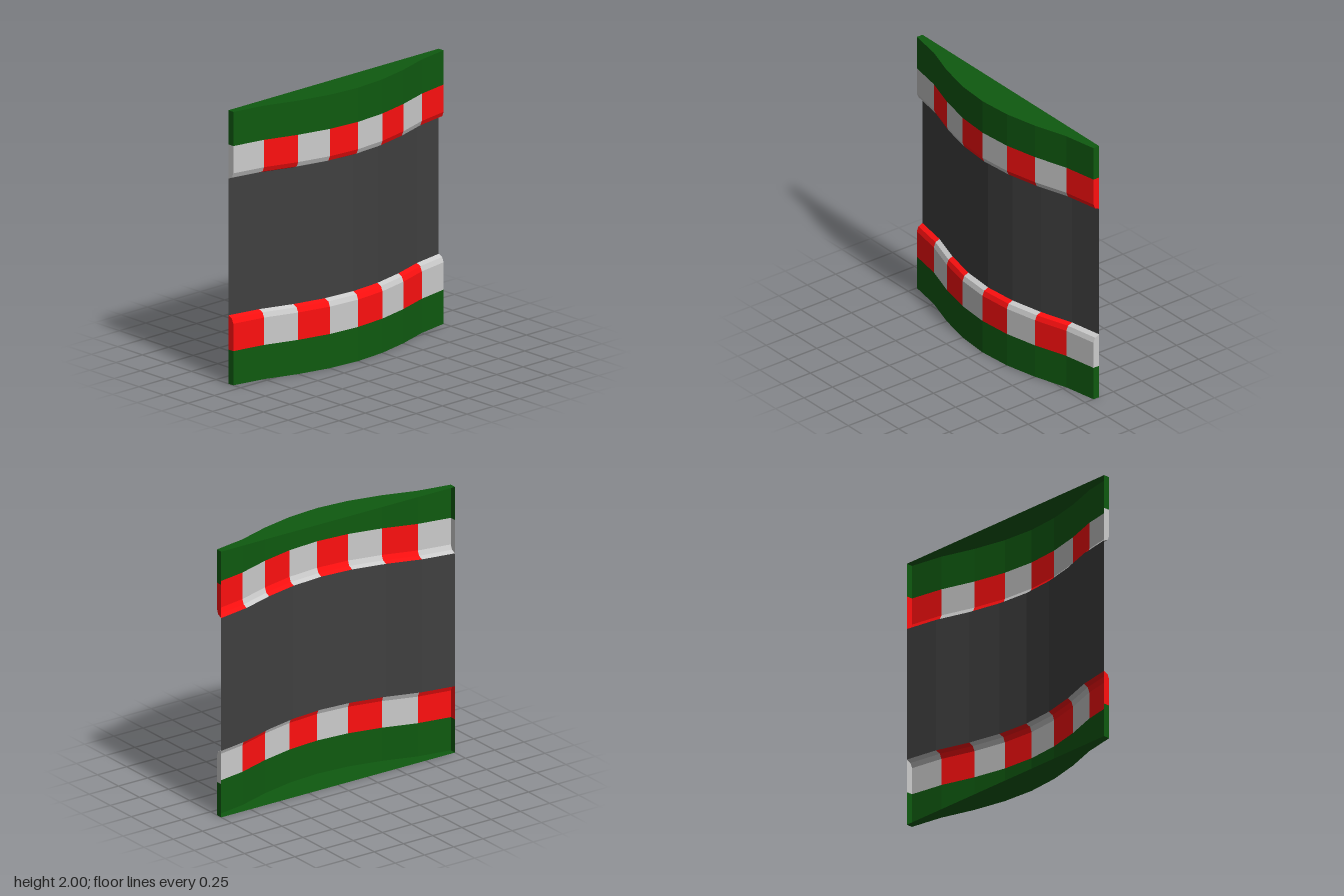
import * as THREE from 'three';

const BACK = -0.125; // plane of the open back
const STEP = 0.25;
// height of the crest at each station along x, from -1 to 1
const CREST = [-0.075, -0.03, 0.05, 0.105, 0.125, 0.105, 0.05, -0.03, -0.075];

const material = (color) =>
  new THREE.MeshStandardMaterial({ color, flatShading: true, side: THREE.DoubleSide });
const green = material(0x0f5a10);
const red = material(0xff1010);
const grey = material(0xcccccc);
const asphalt = material(0x404040);

// Sweeps a profile of [y, offset from the crest] along stations from..to;
// an offset of null lies on the back plane. Outer ends get narrow side caps.
function band(name, mat, profile, from, to) {
  const pos = [];
  const quad = (a, b, c, d) => pos.push(...a, ...b, ...c, ...a, ...c, ...d);
  const point = (i, [y, off]) => [-1 + i * STEP, y, off === null ? BACK : CREST[i] + off];
  const back = (i, [y]) => [-1 + i * STEP, y, BACK];
  for (let k = 0; k < profile.length - 1; k++) {
    const p = profile[k], q = profile[k + 1];
    for (let i = from; i < to; i++) quad(point(i, p), point(i + 1, p), point(i + 1, q), point(i, q));
    if (p[0] === q[0] || name === 'road') continue;
    if (to === 8) quad(back(8, p), back(8, q), point(8, q), point(8, p));
    if (from === 0) quad(back(0, p), point(0, p), point(0, q), back(0, q));
  }
  const geometry = new THREE.BufferGeometry();
  geometry.setAttribute('position', new THREE.Float32BufferAttribute(pos, 3));
  geometry.computeVertexNormals();
  const mesh = new THREE.Mesh(geometry, mat);
  mesh.name = name;
  return mesh;
}

export function createModel() {
  const group = new THREE.Group();
  group.name = 'trackSection';

  // grass verges with their outer side walls
  group.add(band('lowerVerge', green, [[0, null], [0, 0], [0.25, 0]], 0, 8));
  group.add(band('upperVerge', green, [[1.75, 0], [2, 0], [2, null]], 0, 8));

  // sunken road
  group.add(band('road', asphalt, [[0.5, -0.05], [1.5, -0.05]], 0, 8));

  // striped kerbs with a rounded inner edge
  const lower = [[0.25, 0], [0.45, 0], [0.485, -0.015], [0.5, -0.05]];
  const upper = lower.map(([y, off]) => [2 - y, off]).reverse();
  const lowerKerb = new THREE.Group();
  lowerKerb.name = 'lowerKerb';
  const upperKerb = new THREE.Group();
  upperKerb.name = 'upperKerb';
  for (let i = 0; i < 8; i++) {
    lowerKerb.add(band('kerbStripe', i % 2 ? grey : red, lower, i, i + 1));
    upperKerb.add(band('kerbStripe', i % 2 ? red : grey, upper, i, i + 1));
  }
  group.add(lowerKerb, upperKerb);
  return group;
}
